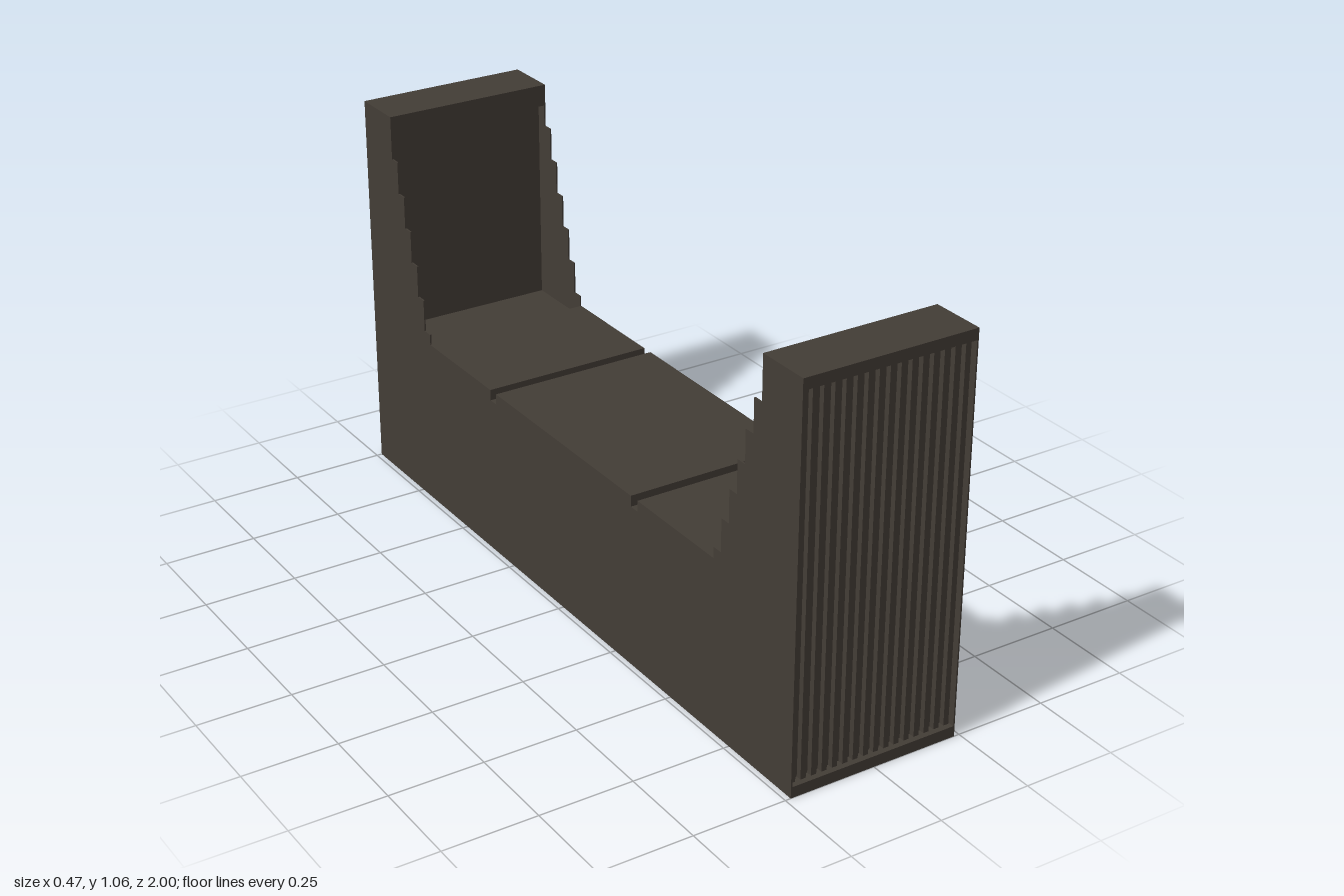
import * as THREE from 'three';

const U = 1 / 34;          // modelling unit: 68 long, 36 high, 16 wide
const SKIN = 0.004;        // thickness of the stepped side sheets

// Mirror half a (z, y) profile and extrude it across the width, centred on x = 0
function extrudeAcross(half, width) {
  const pts = [...half, ...half.slice().reverse().map(([z, y]) => [-z, y])];
  const shape = new THREE.Shape(pts.map(([z, y]) => new THREE.Vector2(z * U, y * U)));
  const geo = new THREE.ExtrudeGeometry(shape, { depth: width, bevelEnabled: false });
  geo.translate(0, 0, -width / 2);
  geo.rotateY(-Math.PI / 2);
  return geo;
}

export function createModel() {
  const group = new THREE.Group();
  const brown = new THREE.MeshStandardMaterial({ color: 0x433d36 });
  brown.name = 'dark brown';

  const add = (name, geo, x = 0, y = 0, z = 0) => {
    const mesh = new THREE.Mesh(geo, brown);
    mesh.name = name;
    mesh.position.set(x, y, z);
    group.add(mesh);
  };

  const width = 16 * U;

  // Core: seat with grooves, lowered end floors, recessed end walls with caps
  const core = [
    [11, 16], [11, 15], [12, 15], [12, 16], [23, 16], [23, 15], [30, 15],
    [30, 34], [29, 34], [29, 36], [34, 36], [34, 35], [33, 35], [33, 1], [34, 1], [34, 0],
  ];
  add('core', extrudeAcross(core, width - 2 * SKIN));

  // Thin side sheets with stepped arms
  const side = [[11, 16], [11, 15], [12, 15], [12, 16], [23, 16]];
  for (let i = 0; i < 6; i++) {
    side.push([23 + i, 17 + 3 * i], [24 + i, 17 + 3 * i]);
  }
  side.push([29, 36], [34, 36], [34, 0]);
  const sideGeo = extrudeAcross(side, SKIN);
  for (const s of [-1, 1]) {
    add(s > 0 ? 'leftSide' : 'rightSide', sideGeo, s * (width - SKIN) / 2);
  }

  // Vertical ribs on both ends, between base lip and cap
  const rib = new THREE.BoxGeometry(U / 2, 34 * U, U / 2);
  for (const s of [-1, 1]) {
    for (let i = 0; i < 16; i++) {
      add(s > 0 ? 'frontRib' : 'backRib', rib, (i - 7.5) * U, 18 * U, s * 33.25 * U);
    }
  }
  return group;
}
